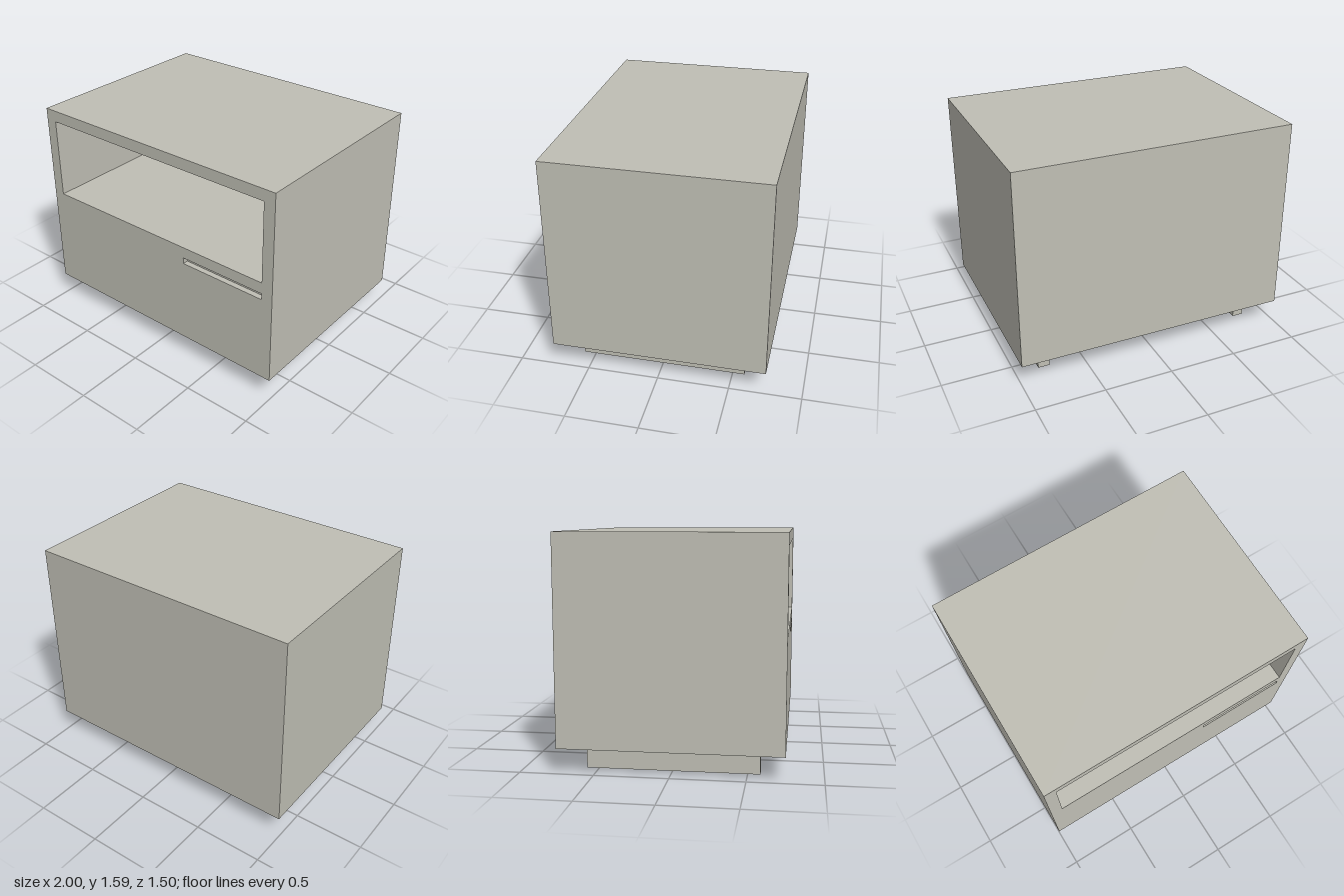
import * as THREE from 'three';

const BOTTOM = 0.17, TOP = 1.585, FRONT = 0.75;

export function createModel() {
  const group = new THREE.Group();
  const paint = new THREE.MeshStandardMaterial({ color: 0xc0bfb5 });
  paint.name = 'warm grey';

  const add = (name, geometry, x = 0, y = 0, z = 0) => {
    const mesh = new THREE.Mesh(geometry, paint);
    mesh.name = name;
    mesh.position.set(x, y, z);
    group.add(mesh);
  };

  // Box without its front face; inward turns it into the lining of a recess
  const openBox = (w, h, d, inward = false) => {
    const g = new THREE.BoxGeometry(w, h, d);
    const index = Array.from(g.index.array);
    index.splice(24, 6);
    if (inward) {
      index.reverse();
      const n = g.attributes.normal;
      for (let i = 0; i < n.count; i++) n.setXYZ(i, -n.getX(i), -n.getY(i), -n.getZ(i));
    }
    g.setIndex(index);
    g.clearGroups();
    return g;
  };

  const trace = (path, x0, y0, x1, y1) => {
    path.moveTo(x0, y0);
    path.lineTo(x1, y0);
    path.lineTo(x1, y1);
    path.lineTo(x0, y1);
    path.closePath();
    return path;
  };

  // Cabinet sides, top, bottom and back
  add('cabinet', openBox(2, TOP - BOTTOM, 2 * FRONT), 0, (TOP + BOTTOM) / 2, 0);

  // Recesses cut into the front: open shelf and finger slot
  const recesses = [
    { name: 'openShelf', x0: -0.917, x1: 0.917, y0: 0.92, y1: 1.502, depth: 1.417 },
    { name: 'handleSlot', x0: 0.265, x1: 0.917, y0: 0.793, y1: 0.838, depth: 0.04 },
  ];
  const face = trace(new THREE.Shape(), -1, BOTTOM, 1, TOP);
  for (const { name, x0, x1, y0, y1, depth } of recesses) {
    face.holes.push(trace(new THREE.Path(), x0, y0, x1, y1));
    add(name, openBox(x1 - x0, y1 - y0, depth, true),
      (x0 + x1) / 2, (y0 + y1) / 2, FRONT - depth / 2);
  }
  add('frontFace', new THREE.ShapeGeometry(face), 0, 0, FRONT);

  // Base: two runners joined by a crossbar
  for (const [name, side] of [['leftRunner', 1], ['rightRunner', -1]]) {
    add(name, new THREE.BoxGeometry(0.083, BOTTOM, 1.167), side * 0.791, BOTTOM / 2, 0);
  }
  add('crossbar', new THREE.BoxGeometry(1.5, BOTTOM, 0.083), 0, BOTTOM / 2, 0);

  return group;
}
